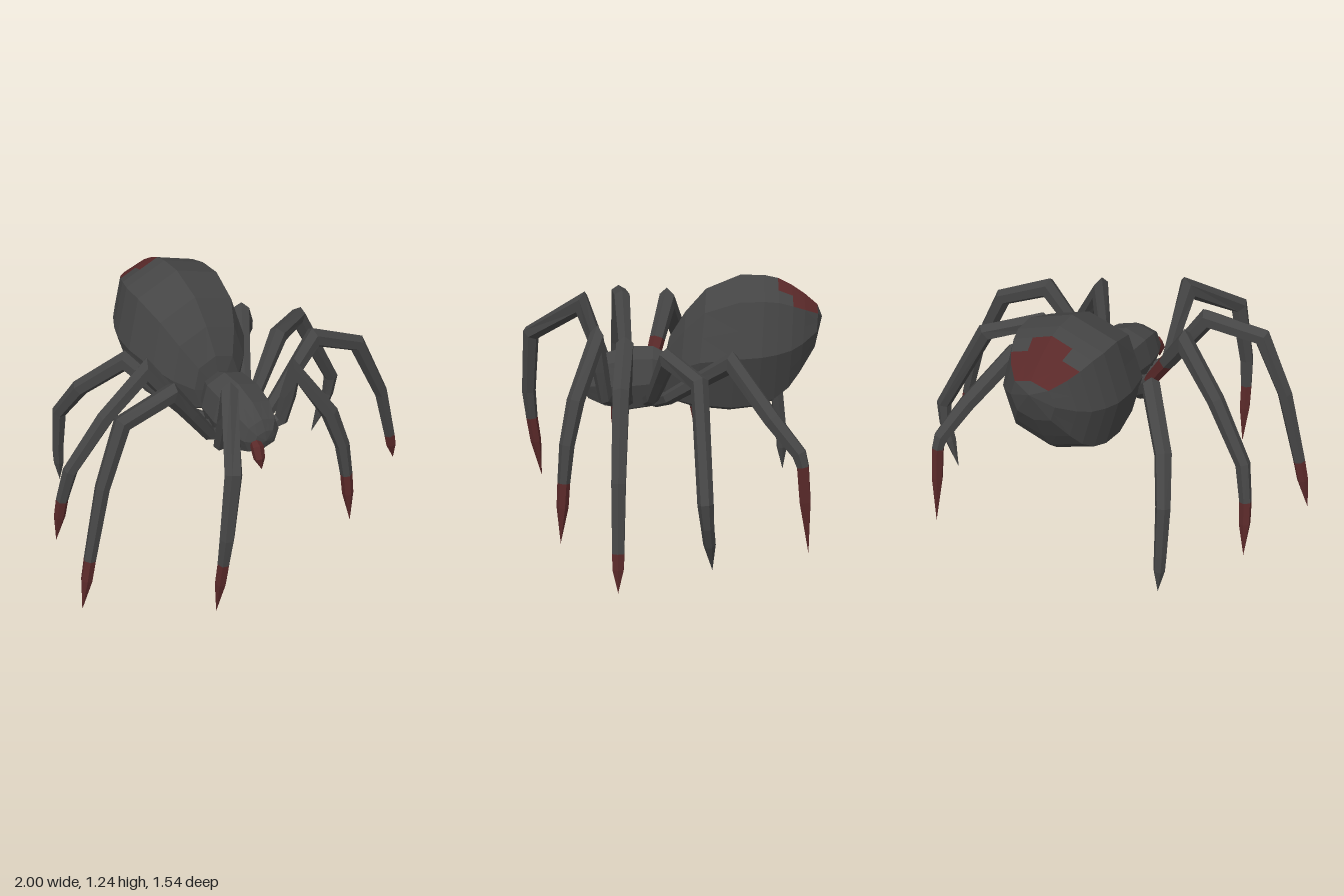
import * as THREE from 'three';

const grey = new THREE.MeshStandardMaterial({ color: 0x454545 });
grey.name = 'charcoal';
const red = new THREE.MeshStandardMaterial({ color: 0x5a2929 });
red.name = 'dark red';

const CX = -0.015; // body centre line

// Skins a list of rings with flat faces; isRed(segment, side) picks the colour
function loft(name, rings, isRed) {
  const lists = [[], []];
  const n = rings[0].length;
  const tri = (list, a, b, c) => {
    const area = b.clone().sub(a).cross(c.clone().sub(a)).length();
    if (area > 1e-9) list.push(...a, ...b, ...c);
  };
  for (let i = 0; i < rings.length - 1; i++) {
    for (let j = 0; j < n; j++) {
      const k = (j + 1) % n;
      const [a, b, c, d] = [rings[i][j], rings[i][k], rings[i + 1][k], rings[i + 1][j]];
      const list = lists[isRed(i, j) ? 1 : 0];
      tri(list, a, b, c);
      tri(list, a, c, d);
    }
  }
  const geo = new THREE.BufferGeometry();
  geo.setAttribute('position', new THREE.Float32BufferAttribute([...lists[0], ...lists[1]], 3));
  geo.addGroup(0, lists[0].length / 3, 0);
  geo.addGroup(lists[0].length / 3, lists[1].length / 3, 1);
  geo.computeVertexNormals();
  const mesh = new THREE.Mesh(geo, [grey, red]);
  mesh.name = name;
  return mesh;
}

// Body slice from top z, top y, bottom z, bottom y and half width:
// an octagon with a ridge on top, each edge halved to give 16 sides
function bodyRing([tz, ty, bz, by, hw]) {
  const corner = (i) => {
    const size = i % 2 ? 1.075 : 1;
    const ang = (i * Math.PI) / 4;
    return new THREE.Vector2(Math.sin(ang) * size, Math.cos(ang) * size);
  };
  return Array.from({ length: 16 }, (_, j) => {
    const p = corner(Math.floor(j / 2)).add(corner(Math.ceil(j / 2))).multiplyScalar(0.5);
    const h = (1 + p.y) / 2;
    return new THREE.Vector3(CX + hw * p.x, by + (ty - by) * h, bz + (tz - bz) * h);
  });
}

// Slices run front to back
const ABDOMEN = [
  [0.02, 0.74, 0.02, 0.74, 0],
  [-0.02, 0.92, 0.0, 0.63, 0.13],
  [-0.1, 1.05, -0.06, 0.585, 0.21],
  [-0.2, 1.165, -0.14, 0.56, 0.27],
  [-0.365, 1.235, -0.32, 0.543, 0.302],
  [-0.48, 1.235, -0.45, 0.56, 0.295],
  [-0.55, 1.22, -0.53, 0.59, 0.27],
  [-0.62, 1.185, -0.6, 0.65, 0.235],
  [-0.68, 1.145, -0.655, 0.735, 0.19],
  [-0.745, 1.09, -0.73, 0.87, 0.115],
  [-0.77, 1.03, -0.77, 1.03, 0],
];

const THORAX = [
  [0.42, 0.68, 0.42, 0.68, 0],
  [0.41, 0.73, 0.41, 0.64, 0.06],
  [0.38, 0.78, 0.38, 0.6, 0.1],
  [0.3, 0.835, 0.3, 0.56, 0.13],
  [0.18, 0.87, 0.18, 0.54, 0.145],
  [0.06, 0.87, 0.06, 0.56, 0.135],
  [0.0, 0.84, 0.0, 0.6, 0.1],
  [-0.03, 0.72, -0.03, 0.72, 0],
];

// Six-sided limb along points, mitred at the joints
function limb(name, pts, radii, redSegments) {
  const last = pts.length - 1;
  const run = pts[last].clone().sub(pts[0]).setY(0).normalize();
  const side = new THREE.Vector3(0, 1, 0).cross(run);
  const dir = (i) => pts[i + 1].clone().sub(pts[i]).normalize();
  const rings = pts.map((p, i) => {
    const a = dir(Math.max(i - 1, 0));
    const b = dir(Math.min(i, last - 1));
    const t = a.clone().add(b).normalize();
    const stretch = 1 / Math.max(t.dot(a), 0.55);
    const s = side.clone().addScaledVector(t, -side.dot(t)).normalize();
    const up = t.clone().cross(s);
    return Array.from({ length: 6 }, (_, j) => {
      const ang = (j / 6) * Math.PI * 2 + Math.PI / 6;
      return p.clone()
        .addScaledVector(s, Math.cos(ang) * radii[i])
        .addScaledVector(up, Math.sin(ang) * radii[i] * stretch);
    });
  });
  return loft(name, rings, (i) => redSegments.includes(i));
}

const vectors = (points) => points.map((p) => new THREE.Vector3(...p));

// Leg from the hip's z and four joints: knee, two on the shin, and the tip.
// clawAt is how far down the last joint the claw begins.
function leg(name, hipZ, joints, clawAt, { redClaw = true, redThigh = false } = {}) {
  const [knee, upperShin, lowerShin, tip] = vectors(joints);
  const s = Math.sign(knee.x);
  const coxa = new THREE.Vector3(CX + s * 0.06, 0.6, hipZ * 0.6 + 0.064);
  const hip = new THREE.Vector3(CX + s * 0.18, 0.66, hipZ);
  const thigh = hip.clone().lerp(knee, 0.5);
  const curve = new THREE.CatmullRomCurve3([knee, upperShin, lowerShin, tip]);
  const claw = curve.getPoint((2 + clawAt) / 3);
  // The claw stays thick before it narrows to a point
  const swell = claw.clone().lerp(tip, 0.4);
  return limb(name,
    [coxa, hip, thigh, knee, upperShin, lowerShin, claw, swell, tip],
    [0.028, 0.034, 0.04, 0.046, 0.043, 0.037, 0.031, 0.029, 0],
    [...(redThigh ? [1] : []), ...(redClaw ? [6, 7] : [])]);
}

export function createModel() {
  const model = new THREE.Group();
  model.name = 'spider';

  // Abdomen with a red patch on its upper rear, narrower at the front edge
  model.add(loft('abdomen', ABDOMEN.map(bodyRing), (i, j) => {
    const fromTop = Math.min(j, 15 - j);
    return (i === 6 && fromTop < 1) || ((i === 7 || i === 8) && fromTop < 2);
  }));
  model.add(loft('headAndThorax', THORAX.map(bodyRing), () => false));

  // Left legs, front to back
  model.add(leg('leftFrontLeg', 0.29,
    [[0.21, 0.95, 0.33], [0.36, 0.7, 0.42], [0.42, 0.5, 0.46], [0.47, 0.015, 0.495]], 0.41));
  model.add(leg('leftSecondLeg', 0.19,
    [[0.43, 0.98, 0.18], [0.7, 0.85, 0.185], [0.88, 0.48, 0.19], [1.0, 0, 0.19]], 0.64));
  model.add(leg('leftThirdLeg', 0.06,
    [[0.36, 0.91, -0.02], [0.59, 0.86, -0.17], [0.85, 0.37, -0.2], [0.76, 0.01, -0.235]], 0.3,
    { redClaw: false }));
  model.add(leg('leftBackLeg', -0.02,
    [[0.34, 0.89, -0.32], [0.5, 0.66, -0.51], [0.575, 0.52, -0.635], [0.6, 0.03, -0.69]], 0.16));

  // Right legs, front to back
  model.add(leg('rightFrontLeg', 0.29,
    [[-0.235, 1.03, 0.43], [-0.4, 0.83, 0.71], [-0.45, 0.5, 0.735], [-0.475, 0.015, 0.68]], 0.33));
  model.add(leg('rightSecondLeg', 0.2,
    [[-0.43, 1.01, 0.235], [-0.71, 0.97, 0.265], [-0.84, 0.67, 0.285], [-1.0, 0.01, 0.31]], 0.6));
  model.add(leg('rightThirdLeg', 0.095,
    [[-0.42, 1.0, 0], [-0.62, 0.77, -0.06], [-0.8, 0.49, -0.115], [-0.865, 0.015, -0.2]], 0.42,
    { redThigh: true }));
  model.add(leg('rightBackLeg', -0.02,
    [[-0.38, 0.89, -0.27], [-0.54, 0.68, -0.46], [-0.605, 0.48, -0.585], [-0.61, 0.01, -0.63]], 0.57,
    { redClaw: false }));

  // Single red fang
  model.add(limb('fang',
    vectors([[-0.06, 0.69, 0.37], [-0.07, 0.665, 0.425], [-0.075, 0.62, 0.45], [-0.07, 0.56, 0.465]]),
    [0.02, 0.032, 0.028, 0], [0, 1, 2]));

  return model;
}
